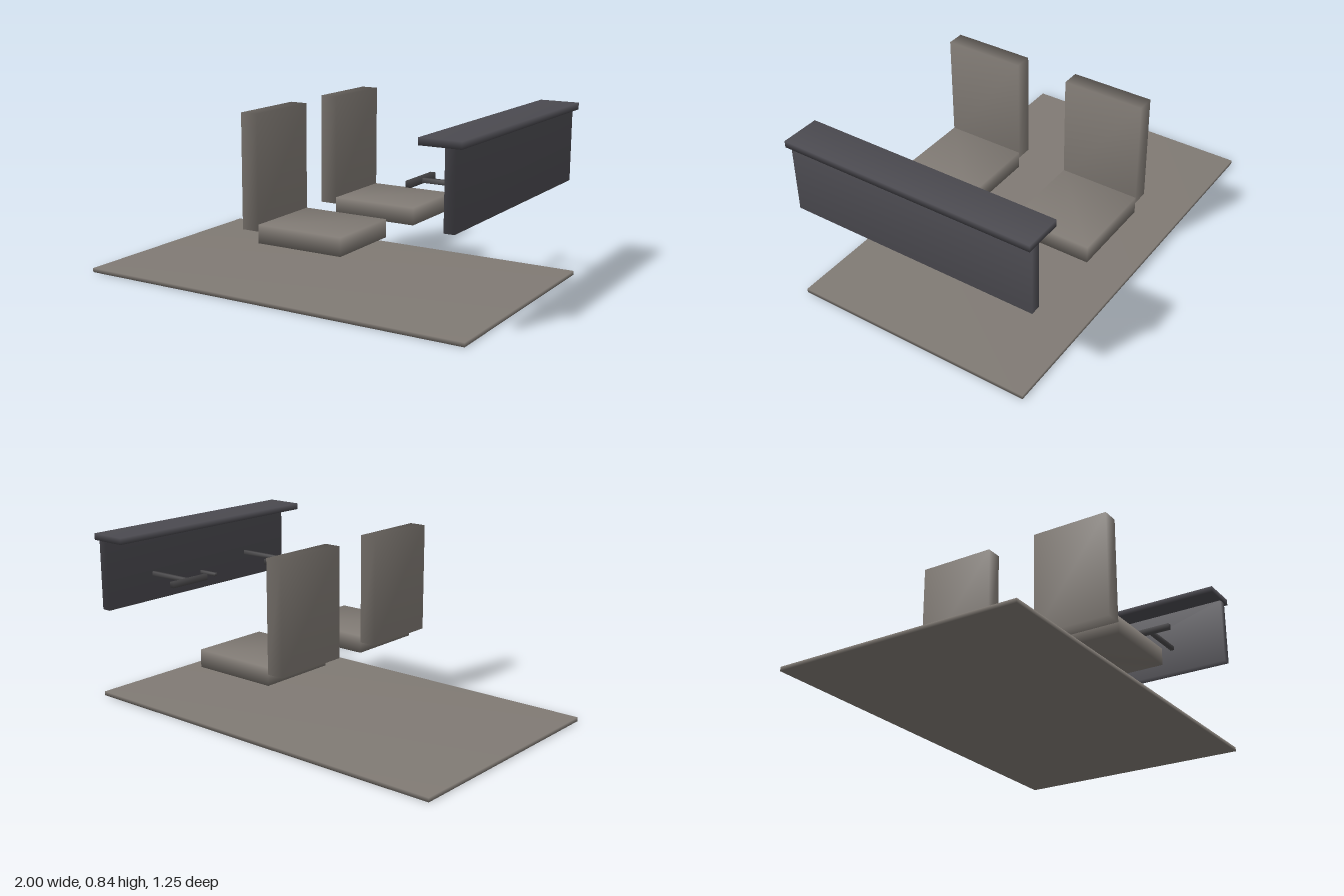
import * as THREE from 'three';
import { mergeVertices } from 'three/addons/utils/BufferGeometryUtils.js';

const material = (name, color) => {
  const m = new THREE.MeshStandardMaterial({ color });
  m.name = name;
  return m;
};

// Box given by its min and max corners, with normals shared softly across its edges
function slab(name, mat, [x0, y0, z0], [x1, y1, z1]) {
  const box = new THREE.BoxGeometry(x1 - x0, y1 - y0, z1 - z0);
  box.deleteAttribute('normal');
  box.deleteAttribute('uv');
  const geometry = mergeVertices(box);
  geometry.clearGroups();
  geometry.computeVertexNormals();
  const mesh = new THREE.Mesh(geometry, mat);
  mesh.name = name;
  mesh.position.set((x0 + x1) / 2, (y0 + y1) / 2, (z0 + z1) / 2);
  return mesh;
}

export function createModel() {
  const warmGrey = material('warmGrey', 0x807a74);
  const charcoal = material('charcoal', 0x4b4a50);
  const darkGrey = material('darkGrey', 0x49484a);
  const model = new THREE.Group();
  model.name = 'cockpitInterior';

  model.add(slab('floor', warmGrey, [-1, 0, -0.6], [1, 0.02, 0.6]));

  // Dashboard: upright panel with an overhanging ledge
  const dashboard = new THREE.Group();
  dashboard.name = 'dashboard';
  dashboard.add(
    slab('dashPanel', charcoal, [0.905, 0.46, -0.618], [0.953, 0.805, 0.618]),
    slab('dashLedge', charcoal, [0.79, 0.803, -0.625], [0.98, 0.835, 0.625]),
    slab('centreLever', darkGrey, [0.8, 0.537, -0.008], [0.91, 0.553, 0.008])
  );
  model.add(dashboard);

  // Two matching stations, each with a seat and a control yoke
  for (const side of [-1, 1]) {
    const seat = new THREE.Group();
    seat.name = side > 0 ? 'frontSeat' : 'rearSeat';
    seat.add(
      slab('seatCushion', warmGrey, [-0.06, 0.262, -0.197], [0.37, 0.347, 0.197]),
      slab('seatBack', warmGrey, [-0.145, 0.315, -0.197], [-0.06, 0.845, 0.197])
    );
    seat.position.z = side * 0.327;

    const yoke = new THREE.Group();
    yoke.name = side > 0 ? 'frontYoke' : 'rearYoke';
    yoke.add(
      slab('yokeColumn', darkGrey, [0.655, 0.586, -0.01], [0.91, 0.606, 0.01]),
      slab('yokeBar', darkGrey, [0.636, 0.582, -0.112], [0.66, 0.61, 0.112])
    );
    yoke.position.z = side * 0.327;
    model.add(seat, yoke);
  }
  return model;
}
